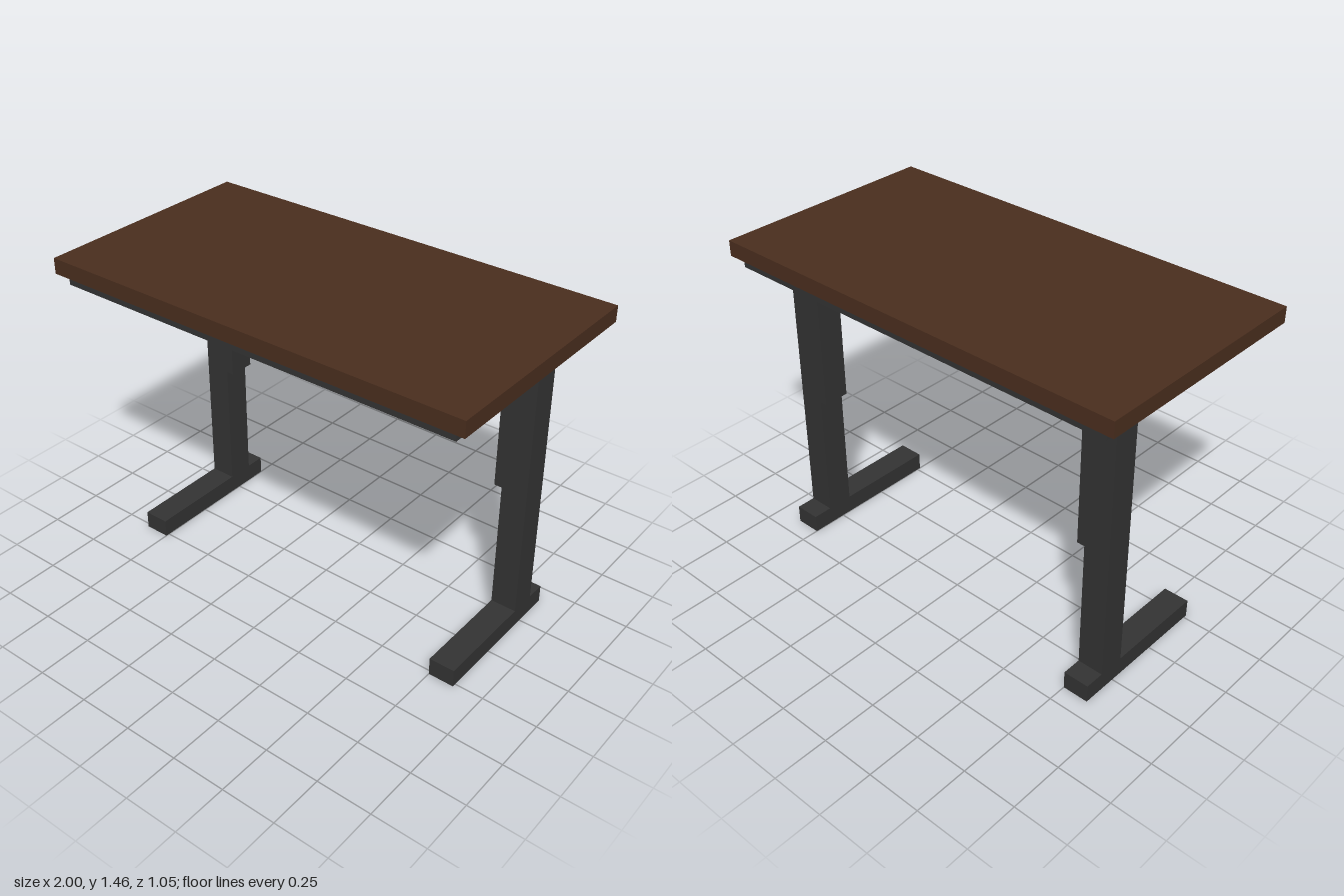
import * as THREE from 'three';

const wood = new THREE.MeshStandardMaterial({ color: 0x4a2e1e });
const steel = new THREE.MeshStandardMaterial({ color: 0x333333 });

// Box given by its lower and upper limits on each axis
function slab(name, material, [x0, x1], [y0, y1], [z0, z1]) {
  const mesh = new THREE.Mesh(new THREE.BoxGeometry(x1 - x0, y1 - y0, z1 - z0), material);
  mesh.position.set((x0 + x1) / 2, (y0 + y1) / 2, (z0 + z1) / 2);
  mesh.name = name;
  return mesh;
}

// Standing leg: foot, lower column and wider upper sleeve, flush on the outside
function createLeg(side) {
  const leg = new THREE.Group();
  leg.name = side > 0 ? 'leftLeg' : 'rightLeg';
  const span = (inner, outer) => (side > 0 ? [inner, outer] : [-outer, -inner]);
  const columnDepth = [-0.325, -0.202];
  leg.add(
    slab('foot', steel, span(0.75, 0.868), [0, 0.083], [-0.415, 0.267]),
    slab('lowerColumn', steel, span(0.75, 0.868), [0.083, 0.677], columnDepth),
    slab('upperColumn', steel, span(0.715, 0.868), [0.677, 1.34], columnDepth)
  );
  return leg;
}

export function createModel() {
  const desk = new THREE.Group();
  desk.name = 'desk';
  desk.add(
    slab('tabletop', wood, [-1, 1], [1.385, 1.455], [-0.525, 0.525]),
    slab('underFrame', steel, [-0.95, 0.95], [1.34, 1.385], [-0.498, 0.498]),
    createLeg(1),
    createLeg(-1)
  );
  return desk;
}
